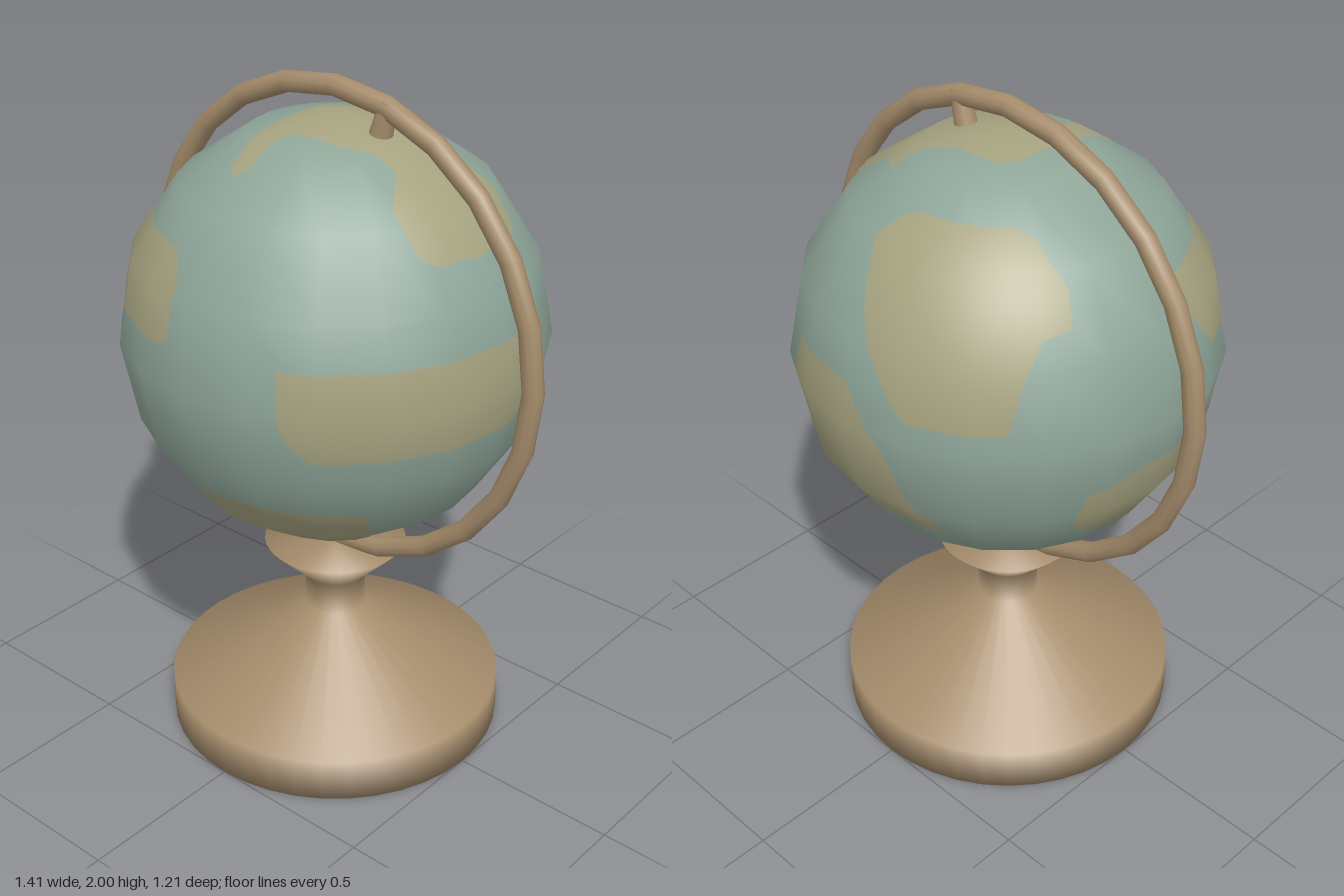
import * as THREE from 'three';

const RADIUS = 0.605, STRETCH = 1.018, CENTRE = 1.28;
const LON_STEP = 18, LAT_STEP = 22.5;
const rad = THREE.MathUtils.degToRad, deg = THREE.MathUtils.radToDeg;

// Unit direction for a latitude and a longitude (0 = front, 90 = +x)
function direction(lat, lon) {
  const a = rad(lat), b = rad(lon);
  return new THREE.Vector3(Math.cos(a) * Math.sin(b), Math.sin(a), Math.cos(a) * Math.cos(b));
}

// Point on the faceted ball, so that the land follows its faces
function onBall(lat, lon) {
  const i = Math.floor(lat / LAT_STEP), j = Math.floor(lon / LON_STEP);
  const u = lon / LON_STEP - j, v = lat / LAT_STEP - i;
  const edge = (k) => direction((i + k) * LAT_STEP, j * LON_STEP)
    .lerp(direction((i + k) * LAT_STEP, (j + 1) * LON_STEP), u);
  return edge(0).lerp(edge(1), v);
}

// Thin land skin lofted through rows of [position, start, end]
function landGeometry(rows, toLatLon) {
  const across = 28, sub = 6, pos = [], nor = [], index = [];
  const total = (rows.length - 1) * sub;
  for (let i = 0; i <= total; i++) {
    const k = Math.min(Math.floor(i / sub), rows.length - 2), f = i / sub - k;
    const [p, start, end] = rows[k].map((n, c) => THREE.MathUtils.lerp(n, rows[k + 1][c], f));
    for (let j = 0; j <= across; j++) {
      const [lat, lon] = toLatLon(p, THREE.MathUtils.lerp(start, end, j / across));
      pos.push(...onBall(lat, lon).multiplyScalar(RADIUS * 1.006).toArray());
      nor.push(...direction(lat, lon).toArray());
      if (i < total && j < across) {
        const a = i * (across + 1) + j, b = a + across + 1;
        index.push(a, b, a + 1, b, b + 1, a + 1);
      }
    }
  }
  const g = new THREE.BufferGeometry();
  g.setAttribute('position', new THREE.Float32BufferAttribute(pos, 3));
  g.setAttribute('normal', new THREE.Float32BufferAttribute(nor, 3));
  g.setIndex(index);
  return g;
}

// Rows of [latitude, west, east], north to south
const lands = {
  frontLand: [[34, -79, -15], [30, -79, -11], [25, -79, -8], [13, -70, -8], [10, -66, -10]],
  backLand: [[57, 182, 228], [54, 175, 236], [48, 171, 239], [40, 175, 244], [31, 180, 243],
    [29.5, 181, 234], [20, 187, 229], [10, 194, 226], [6, 200, 225]],
  lowerBackLand: [[11, 154, 180], [5, 152, 184], [-2, 152, 190], [-17, 154, 196], [-25, 159, 201], [-33.5, 178, 206]],
  sideLand: [[11.5, 26, 95], [6, 26, 99], [-4, 27, 100], [-9, 30, 99], [-12.5, 35, 97]],
  lowerFrontLand: [[-33, -9, 49], [-41, -9, 53], [-51, -8, 56], [-63, -2, 62], [-73, 14, 58]],
  lowerSideLand: [[-11.5, -95, -54], [-16, -114, -50], [-22, -116, -47], [-29, -116, -44], [-34, -113, -46], [-39, -100, -68]],
  southLand: [[-52, 108, 162], [-57, 102, 166], [-65, 102, 162], [-71, 112, 150]],
};

// Land over the pole, as rows of [x, z start, z end] seen from above
const polarLand = [[0.503, -0.02, 0.02], [0.485, -0.14, 0.13], [0.455, -0.215, 0.18], [0.42, -0.22, 0.19],
  [0.35, -0.205, 0.18], [0.28, -0.175, 0.085], [0.21, -0.235, 0.1], [0.13, -0.16, 0.14], [0.06, -0.125, 0.145],
  [-0.02, -0.13, 0.16], [-0.035, -0.125, 0.3], [-0.07, -0.12, 0.33], [-0.1, -0.09, 0.3], [-0.115, -0.07, 0.13]];
const fromAbove = (x, z) =>
  [deg(Math.acos(Math.min(1, Math.hypot(x, z) / RADIUS))), deg(Math.atan2(x, z))];

export function createModel() {
  const wood = new THREE.MeshStandardMaterial({ color: 0xa68d6c });
  wood.name = 'wood';
  const sea = new THREE.MeshStandardMaterial({ color: 0x8fa699 });
  sea.name = 'sea';
  const land = new THREE.MeshStandardMaterial({ color: 0xa6a380 });
  land.name = 'land';

  const model = new THREE.Group();
  model.name = 'deskGlobe';
  const add = (parent, name, geometry, material) => {
    const mesh = new THREE.Mesh(geometry, material);
    mesh.name = name;
    parent.add(mesh);
    return mesh;
  };

  // Turned stand
  const profile = [[0, 0], [0.5, 0], [0.5, 0.13], [0.09, 0.365], [0.09, 0.465], [0.21, 0.585], [0, 0.585]];
  add(model, 'stand', new THREE.LatheGeometry(profile.map((p) => new THREE.Vector2(...p)), 40), wood);

  // Ring around the ball
  const ring = add(model, 'ring', new THREE.TorusGeometry(0.675, 0.03, 10, 24), wood);
  ring.position.y = CENTRE;
  ring.scale.y = STRETCH;

  // Tilted pins at both ends of the axis
  for (const [name, turn] of [['topPin', 0], ['bottomPin', Math.PI]]) {
    const pin = new THREE.Group();
    pin.position.y = CENTRE;
    pin.rotation.z = turn - rad(15);
    add(pin, name, new THREE.CylinderGeometry(0.024, 0.034, 0.12, 14), wood).position.y = 0.645;
    model.add(pin);
  }

  // Ball with land
  const ball = new THREE.Group();
  ball.name = 'ball';
  ball.position.y = CENTRE;
  ball.scale.y = STRETCH;
  model.add(ball);
  add(ball, 'sea', new THREE.SphereGeometry(RADIUS, 360 / LON_STEP, 180 / LAT_STEP), sea);
  for (const [name, rows] of Object.entries(lands)) {
    add(ball, name, landGeometry(rows, (lat, lon) => [lat, lon]), land);
  }
  add(ball, 'polarLand', landGeometry(polarLand, fromAbove), land);

  return model;
}
